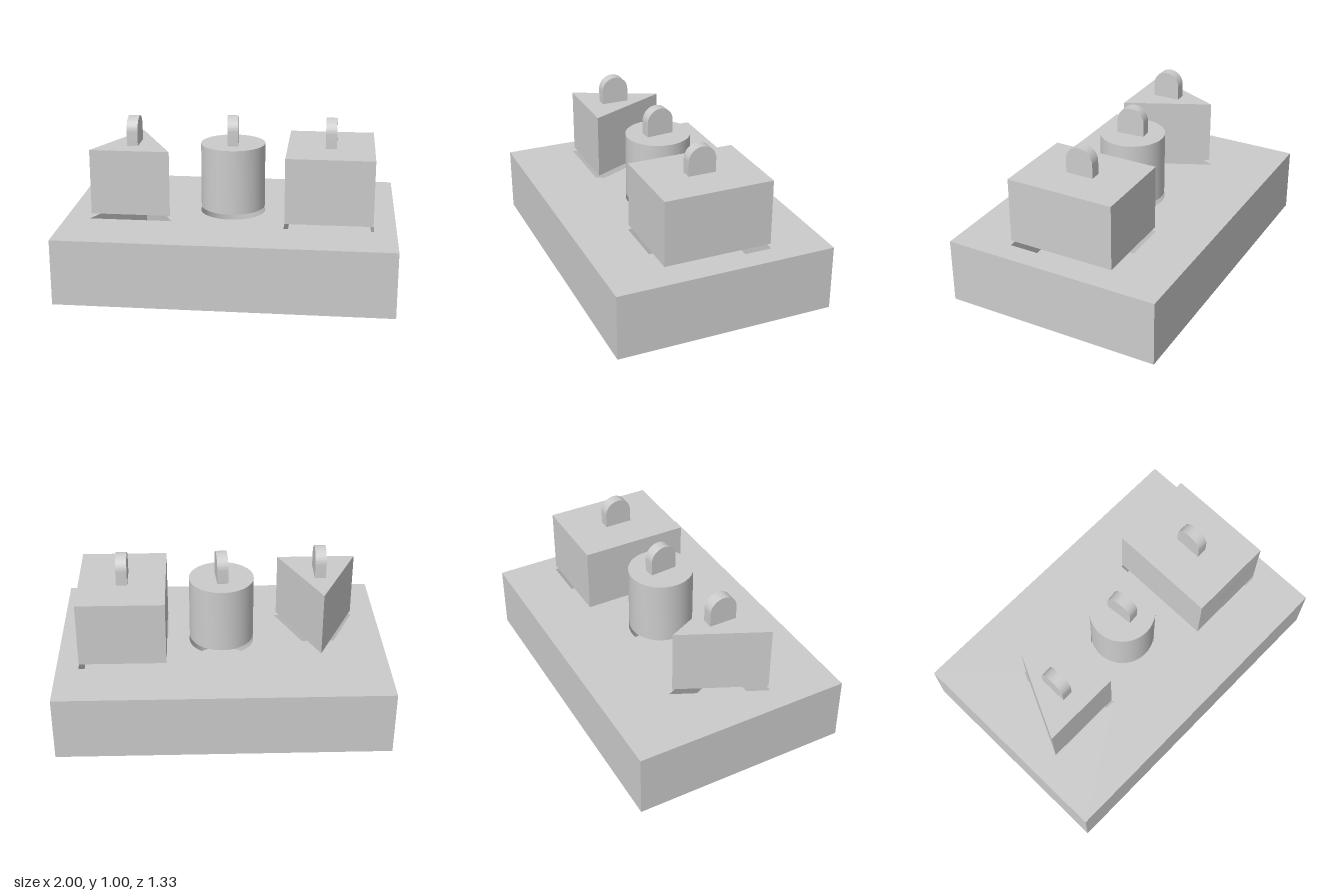
import * as THREE from 'three';
import { toCreasedNormals } from 'three/addons/utils/BufferGeometryUtils.js';

const material = new THREE.MeshStandardMaterial({ color: 0xcccccc });

// Plan outlines are drawn with shape y = -z
function polygon(points, Type = THREE.Shape) {
  return new Type(points.map(([x, z]) => new THREE.Vector2(x, -z)));
}

const rectangle = (cx, w, d) => [
  [cx - w / 2, d / 2], [cx + w / 2, d / 2], [cx + w / 2, -d / 2], [cx - w / 2, -d / 2],
];
const triangle = (cx, halfWidth, back, front) => [[cx - halfWidth, front], [cx + halfWidth, front], [cx, back]];
const circle = (r, n = 64) => Array.from({ length: n }, (_, i) => {
  const a = (i / n) * Math.PI * 2;
  return [r * Math.cos(a), -r * Math.sin(a)];
});

function extrude(shape, depth) {
  const geometry = new THREE.ExtrudeGeometry(shape, { depth, bevelEnabled: false, curveSegments: 32 });
  return toCreasedNormals(geometry, 0.5);
}

// Vertical prism standing on height y
function prism(name, shape, y, height) {
  const mesh = new THREE.Mesh(extrude(shape, height).rotateX(-Math.PI / 2), material);
  mesh.position.y = y;
  mesh.name = name;
  return mesh;
}

// Thin upright grip with a half-round top
function makeHandle(x, z, turn) {
  const r = 0.085, thickness = 0.067;
  const arch = new THREE.Shape();
  arch.moveTo(-r, 0);
  arch.lineTo(r, 0);
  arch.lineTo(r, r);
  arch.absarc(0, r, r, 0, Math.PI, false);
  arch.closePath();
  const geometry = extrude(arch, thickness).translate(0, 0, -thickness / 2).rotateY(Math.PI / 2);
  const handle = new THREE.Mesh(geometry, material);
  handle.name = 'handle';
  handle.position.set(x, 0.83, z);
  handle.rotation.y = turn;
  return handle;
}

export function createModel() {
  const model = new THREE.Group();
  model.name = 'shapeSorter';

  // Base: solid floor slab below a plate pierced by the three sockets
  const base = new THREE.Group();
  base.name = 'base';
  const width = 2, depth = 1.334, floor = 0.2, top = 0.4;
  const plate = polygon(rectangle(0, width, depth));
  const sockets = [triangle(-0.6, 0.25, -0.27, 0.265), circle(0.2), rectangle(0.6, 0.533, 0.667)];
  plate.holes = sockets.map((points) => polygon(points, THREE.Path));
  base.add(
    prism('baseFloor', polygon(rectangle(0, width, depth)), 0, floor),
    prism('socketPlate', plate, floor, top - floor),
  );
  model.add(base);

  // Blocks hovering just above their sockets, each with a handle
  const blocks = [
    { name: 'triangleBlock', points: triangle(-0.6, 0.241, -0.25, 0.256), x: -0.6, z: 0.057, turn: 0 },
    { name: 'roundBlock', points: circle(0.197), x: 0, z: 0, turn: 0.085 },
    { name: 'squareBlock', points: rectangle(0.6, 0.525, 0.66), x: 0.6, z: 0, turn: 0 },
  ];
  for (const { name, points, x, z, turn } of blocks) {
    const block = new THREE.Group();
    block.name = name;
    block.add(prism('body', polygon(points), 0.43, 0.4), makeHandle(x, z, turn));
    model.add(block);
  }
  return model;
}
